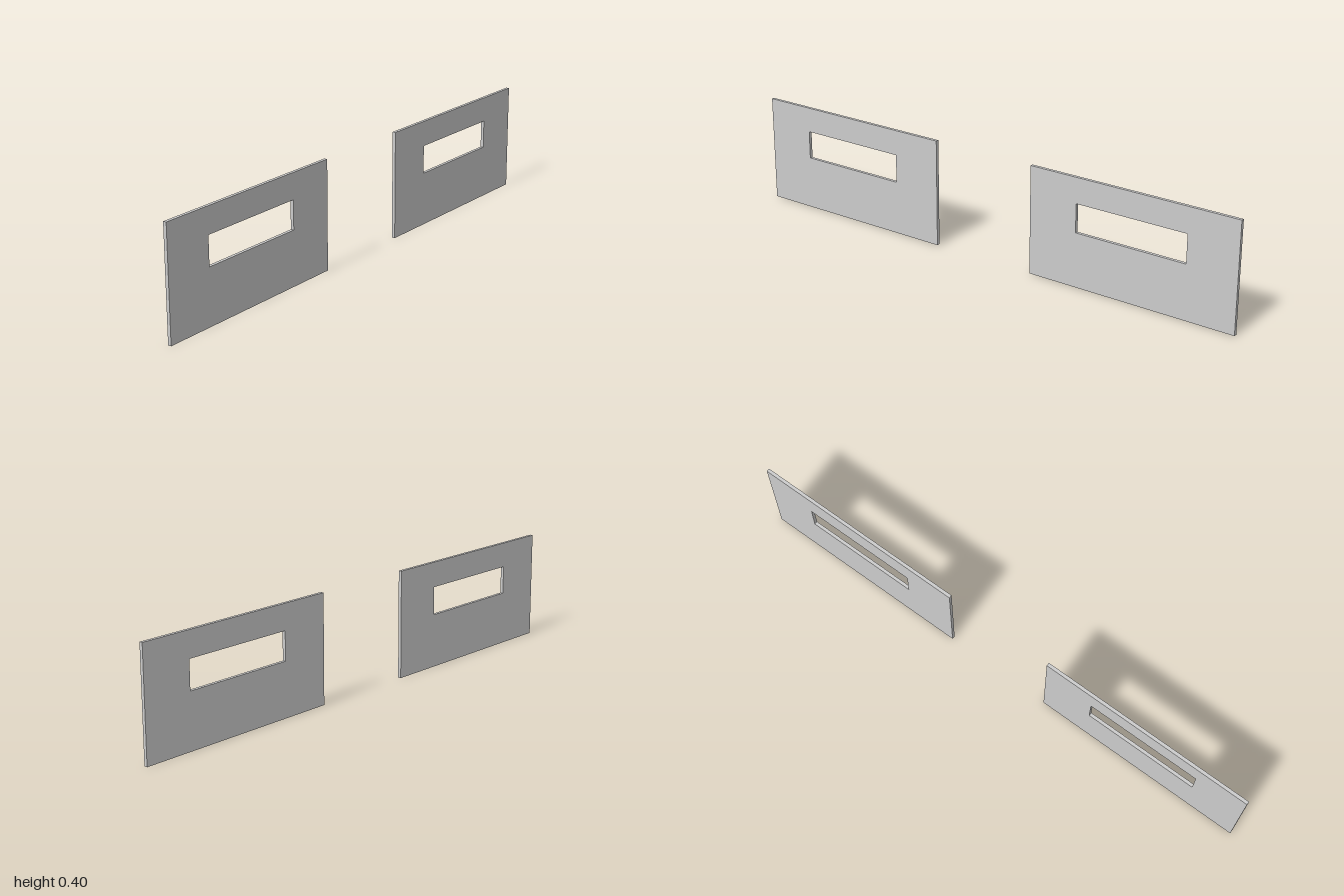
import * as THREE from 'three';

// Closed rectangular outline from two corners
function rect(path, x0, y0, x1, y1) {
  path.moveTo(x0, y0);
  path.lineTo(x1, y0);
  path.lineTo(x1, y1);
  path.lineTo(x0, y1);
  path.closePath();
  return path;
}

export function createModel() {
  const group = new THREE.Group();
  const material = new THREE.MeshStandardMaterial({ color: 0xcccccc });
  const width = 0.797, height = 0.395, depth = 0.012;

  // Thin panel with a rectangular slot in its upper half
  const outline = rect(new THREE.Shape(), -width / 2, 0, width / 2, height);
  outline.holes.push(rect(new THREE.Path(), -0.212, 0.198, 0.212, 0.302));
  const geometry = new THREE.ExtrudeGeometry(outline, { depth, bevelEnabled: false });
  geometry.translate(0, 0, -depth / 2);

  // A matching panel on each side
  for (const [name, side] of [['leftPanel', 1], ['rightPanel', -1]]) {
    const panel = new THREE.Mesh(geometry, material);
    panel.name = name;
    panel.position.x = side * (1 - width / 2);
    group.add(panel);
  }
  return group;
}
